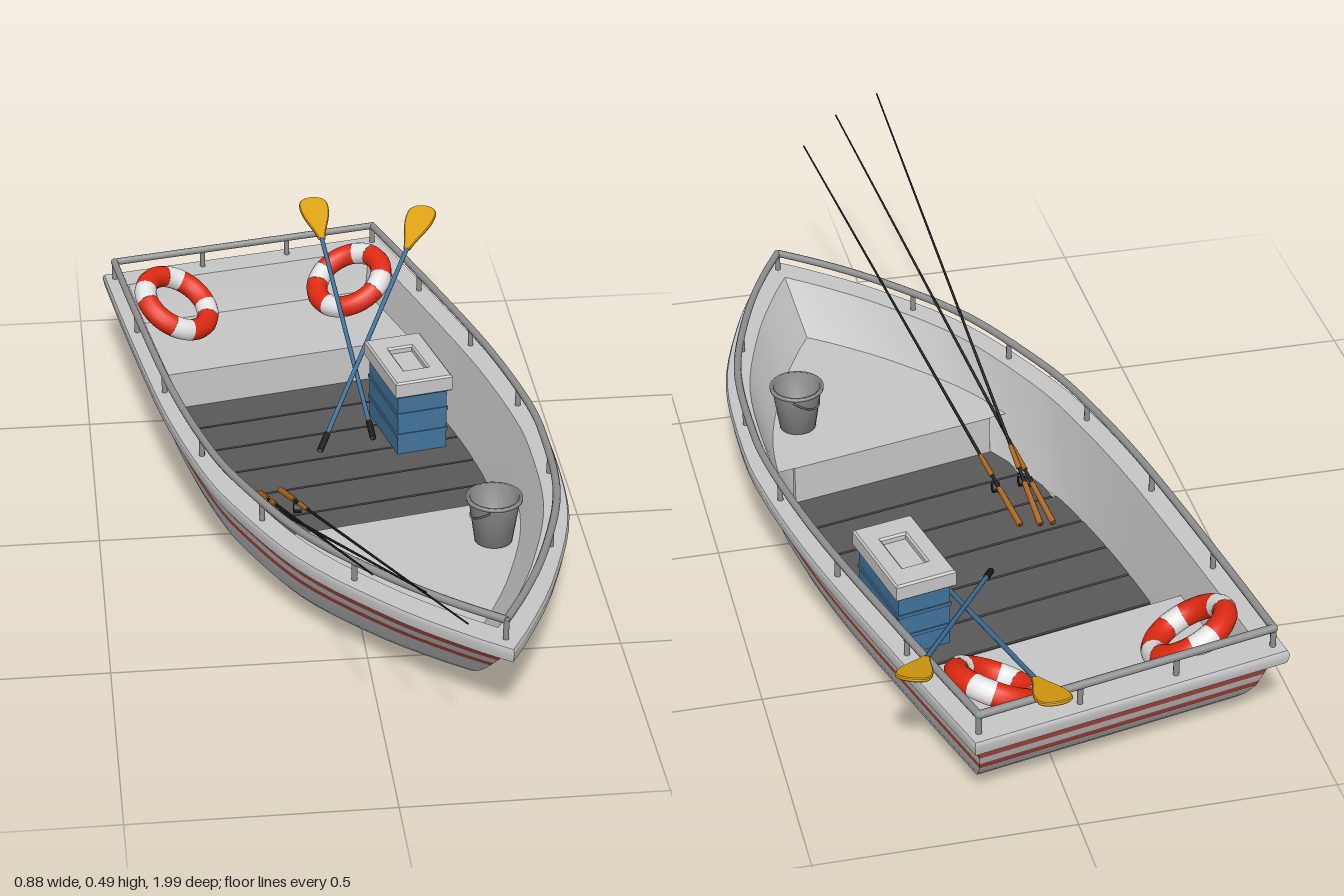
import * as THREE from 'three';

const mat = (name, color, side = THREE.FrontSide) => {
  const m = new THREE.MeshStandardMaterial({ color, side });
  m.name = name;
  return m;
};

// Half-beam of the boat from stern (0) to bow (1)
const outline = new THREE.SplineCurve([
  [0, .327], [.17, .35], [.37, .37], [.52, .366], [.615, .345], [.755, .28], [.878, .165], [.957, .065], [1, 0],
].map(p => new THREE.Vector2(...p))).getPoints(96);
function half(t) {
  for (let i = 1; i < outline.length; i++) {
    const a = outline[i - 1], b = outline[i];
    if (t <= b.x) return a.y + (b.y - a.y) * (t - a.x) / (b.x - a.x);
  }
  return 0;
}

// A level is [height, stern z, bow z, beam factor]
const STEPS = 36;
const halfAt = (L, z) => L[3] * half((z - L[1]) / (L[2] - L[1]));
const edge = (L, t, side) => [side * L[3] * half(t), L[0], L[1] + (L[2] - L[1]) * t];
function strips(L) {
  const right = [], left = [];
  for (let i = 0; i <= STEPS; i++) {
    right.push(edge(L, 1 - i / STEPS, -1));
    left.push(edge(L, i / STEPS, 1));
  }
  return [right, [edge(L, 0, -1), edge(L, 0, 1)], left];
}

// Skin through a list of levels, one material index per row; bow and stern corners stay sharp
function loft(levels, rowMats) {
  const pos = [], idx = [], g = new THREE.BufferGeometry();
  const rows = levels.map(L => strips(L).map(strip => {
    const start = pos.length / 3;
    strip.forEach(p => pos.push(...p));
    return [start, strip.length];
  }));
  for (let r = 0; r + 1 < rows.length; r++) {
    const first = idx.length;
    rows[r].forEach(([a, n], s) => {
      const b = rows[r + 1][s][0];
      for (let i = 0; i < n - 1; i++) idx.push(a + i, a + i + 1, b + i, a + i + 1, b + i + 1, b + i);
    });
    g.addGroup(first, idx.length - first, rowMats ? rowMats[r] : 0);
  }
  g.setAttribute('position', new THREE.Float32BufferAttribute(pos, 3));
  g.setIndex(idx);
  g.computeVertexNormals();
  return g;
}

// Flat deck filling a level between two z positions
function deck(L, z0, z1, up = true) {
  const pos = [], idx = [], n = 30;
  for (let i = 0; i <= n; i++) {
    const z = z0 + (z1 - z0) * i / n, w = halfAt(L, z);
    pos.push(-w, L[0], z, w, L[0], z);
    const a = i * 2;
    if (i < n) up ? idx.push(a, a + 2, a + 1, a + 1, a + 2, a + 3) : idx.push(a, a + 1, a + 2, a + 1, a + 3, a + 2);
  }
  const g = new THREE.BufferGeometry();
  g.setAttribute('position', new THREE.Float32BufferAttribute(pos, 3));
  g.setIndex(idx);
  g.computeVertexNormals();
  return g;
}

export function createModel() {
  const M = {
    hull: mat('hull grey', 0xc6c6c6, THREE.DoubleSide), stripe: mat('stripe red', 0xb04a40),
    plank: mat('plank dark grey', 0x595959), rail: mat('metal grey', 0x909090, THREE.DoubleSide),
    red: mat('ring red', 0xe02a12), white: mat('ring white', 0xe4e4e4),
    yellow: mat('blade yellow', 0xdca010), blue: mat('cooler blue', 0x41749c),
    black: mat('rod black', 0x1c1c1c), brown: mat('grip brown', 0xa8641c),
  };
  const model = new THREE.Group();
  const boat = new THREE.Group();
  boat.name = 'boat';
  boat.position.set(-.13, 0, -.905);
  boat.rotation.y = .21;
  model.add(boat);
  const add = (parent, name, geo, material, x = 0, y = 0, z = 0) => {
    const m = new THREE.Mesh(geo, material);
    m.name = name;
    m.position.set(x, y, z);
    parent.add(m);
    return m;
  };
  // Cylinder between two points, r0 at the start and r1 at the end
  const rod = (parent, name, a, b, r0, r1, material, sides = 8) => {
    const d = b.clone().sub(a);
    const m = add(parent, name, new THREE.CylinderGeometry(r1, r0, d.length(), sides), material);
    m.position.copy(a).addScaledVector(d, .5);
    m.quaternion.setFromUnitVectors(new THREE.Vector3(0, 1, 0), d.normalize());
    return m;
  };
  const V = (x, y, z) => new THREE.Vector3(x, y, z);

  // Outer hull with two painted stripes, then its flat bottom
  const hullTop = [.17, .03, 1.715, .935], bottom = [0, .19, 1.43, .68];
  add(boat, 'hull', loft([
    hullTop, [.145, .037, 1.69, .922], [.128, .042, 1.672, .912], [.108, .05, 1.65, .9], [.093, .056, 1.633, .89],
    [.06, .08, 1.595, .865], [.035, .105, 1.56, .835], [.018, .125, 1.53, .8], [.007, .15, 1.49, .75], bottom,
  ], [0, 1, 0, 1, 0, 0, 0, 0, 0]), [M.hull, M.stripe]);
  add(boat, 'hullBottom', deck(bottom, bottom[1], bottom[2], false), M.hull);

  // Gunwale, inner wall and decks
  const rimIn = [.2, .07, 1.67, .87], rimOut = [.2, .005, 1.75, .99], rimEdge = [.192, 0, 1.755, 1];
  const rimLow = [.172, .004, 1.75, .99];
  const seat = [.11, .095, 1.55, .82], floor = [.022, .13, 1.42, .775];
  [['innerWall', [floor, seat, rimIn]], ['gunwaleTop', [rimIn, rimOut]], ['gunwaleEdge', [rimOut, rimEdge, rimLow]],
    ['gunwaleUnderside', [rimLow, hullTop]]].forEach(([n, L]) => add(boat, n, loft(L), [M.hull]));
  const well0 = .35, well1 = 1.085;
  add(boat, 'sternDeck', deck(seat, seat[1], well0), M.hull);
  add(boat, 'bowDeck', deck(seat, well1, seat[2]), M.hull);
  for (const [n, z] of [['sternBulkhead', well0 - .006], ['bowBulkhead', well1 + .006]]) {
    add(boat, n, new THREE.BoxGeometry(2 * halfAt(floor, z) + .006, .088, .012), M.hull, 0, .0655, z);
  }

  // Floor planks across the well
  add(boat, 'subfloor', deck([.016, ...floor.slice(1)], well0, well1), M.black);
  const pitch = (well1 - well0) / 7;
  for (let i = 0; i < 7; i++) {
    const z = well0 + pitch * (i + .5);
    add(boat, 'floorPlank', new THREE.BoxGeometry(2 * halfAt(floor, z) + .005, .012, pitch - .005), M.plank, 0, .019, z);
  }

  // Railing on posts
  const railL = [.241, .03, 1.71, .935];
  const post = ([x, , z]) => add(boat, 'railPost', new THREE.CylinderGeometry(.006, .006, .045, 8), M.rail, x, .219, z);
  for (const s of [-1, 1]) {
    const pts = Array.from({ length: 25 }, (_, i) => V(...edge(railL, i / 24, s)));
    add(boat, 'sideRail', new THREE.TubeGeometry(new THREE.CatmullRomCurve3(pts), 60, .008, 8), M.rail);
    for (const t of [0, .16, .33, .5, .67, .83]) post(edge(railL, t, s));
    post([s * .1, 0, railL[1]]);
  }
  post(edge(railL, 1, 1));
  const [cornerR, cornerL] = [-1, 1].map(s => V(...edge(railL, 0, s)));
  rod(boat, 'sternRail', cornerR, cornerL, .008, .008, M.rail);
  for (const c of [cornerR, cornerL]) add(boat, 'railCorner', new THREE.SphereGeometry(.008, 8, 6), M.rail, c.x, c.y, c.z);

  // Cooler box with a recessed lid panel
  const cooler = new THREE.Group();
  cooler.name = 'cooler';
  cooler.position.set(.194, .025, .603);
  boat.add(cooler);
  add(cooler, 'coolerBody', new THREE.BoxGeometry(.11, .14, .19), M.blue, 0, .07, 0);
  for (const y of [.045, .095]) add(cooler, 'coolerRib', new THREE.BoxGeometry(.115, .008, .195), M.blue, 0, y, 0);
  const lid = new THREE.Shape([[-.06, -.102], [.06, -.102], [.06, .102], [-.06, .102]].map(p => new THREE.Vector2(...p)));
  lid.holes.push(new THREE.Path([[-.03, -.055], [-.03, .055], [.03, .055], [.03, -.055]].map(p => new THREE.Vector2(...p))));
  const lidGeo = new THREE.ExtrudeGeometry(lid, { depth: .03, bevelEnabled: true, bevelSize: .004, bevelThickness: .004, bevelSegments: 1 });
  add(cooler, 'coolerLid', lidGeo.rotateX(-Math.PI / 2), M.hull, 0, .144, 0);
  add(cooler, 'coolerLidPanel', new THREE.BoxGeometry(.062, .024, .112), M.hull, 0, .152, 0);

  // Bucket with a folded handle
  const bucket = new THREE.Group();
  bucket.name = 'bucket';
  bucket.position.set(.28, .111, .265);
  model.add(bucket);
  const wall = [[0, .002], [.038, .002], [.052, .095], [.057, .095], [.057, .101], [.049, .101], [.036, .008], [0, .008]];
  add(bucket, 'bucketBody', new THREE.LatheGeometry(wall.map(p => new THREE.Vector2(...p)), 24), M.rail);
  const handle = new THREE.Group();
  handle.name = 'bucketHandle';
  handle.position.y = .093;
  handle.rotation.set(0, Math.PI / 2 - .3, 0);
  bucket.add(handle);
  add(handle, 'handleWire', new THREE.TorusGeometry(.058, .002, 6, 20, Math.PI), M.rail).rotation.x = -2.2;
  rod(handle, 'handleGrip', V(-.015, -.047, -.034), V(.015, -.047, -.034), .005, .005, M.brown);

  // Life rings leaning on the stern corners: four red and four white arcs
  for (const [x, y, z, nx, nz] of [[-.29, .182, -.71, .45, .28], [.105, .182, -.785, -.38, .28]]) {
    const ring = new THREE.Group();
    ring.name = 'lifeRing';
    ring.position.set(x, y, z);
    ring.quaternion.setFromUnitVectors(V(0, 0, 1), V(nx, .83, nz).normalize());
    model.add(ring);
    for (let i = 0; i < 4; i++) {
      add(ring, 'ringRedArc', new THREE.TorusGeometry(.078, .024, 12, 10, Math.PI / 3), M.red).rotation.z = i * Math.PI / 2;
      add(ring, 'ringWhiteArc', new THREE.TorusGeometry(.078, .0245, 12, 5, Math.PI / 6), M.white).rotation.z = i * Math.PI / 2 + Math.PI / 3;
    }
  }

  // Oars: blade grows along its local y from the shaft end
  const blade = new THREE.Shape();
  blade.moveTo(-.006, 0);
  blade.bezierCurveTo(-.012, .04, -.034, .07, -.031, .115);
  blade.bezierCurveTo(-.028, .145, .028, .145, .031, .115);
  blade.bezierCurveTo(.034, .07, .012, .04, .006, 0);
  const bladeGeo = new THREE.ExtrudeGeometry(blade, { depth: .004, bevelEnabled: true, bevelSize: .002, bevelThickness: .002, bevelSegments: 1 });
  bladeGeo.translate(0, 0, -.002);
  for (const [a, b] of [[V(.1, .06, -.265), V(.052, .248, -.868)], [V(-.016, .045, -.25), V(.235, .258, -.775)]]) {
    const dir = b.clone().sub(a).normalize();
    rod(model, 'oarShaft', a, b, .005, .005, M.blue);
    rod(model, 'oarGrip', a, a.clone().addScaledVector(dir, .05), .007, .007, M.black);
    const side = V(0, 1, 0).cross(dir).normalize();
    const m = add(model, 'oarBlade', bladeGeo, M.yellow, b.x, b.y, b.z);
    m.quaternion.setFromRotationMatrix(new THREE.Matrix4().makeBasis(side, dir, side.clone().cross(dir)));
  }

  // Fishing rods resting over the bow rail
  for (const [a, tip] of [[V(-.158, .035, -.1), V(-.05, .493, .99)], [V(-.185, .035, -.1), V(.045, .45, .99)],
    [V(-.115, .04, -.1), V(.12, .38, .99)]]) {
    const at = t => a.clone().lerp(tip, t);
    rod(model, 'fishingRod', a, tip, .004, .0018, M.black, 6);
    rod(model, 'rodGrip', a, at(.09), .007, .006, M.brown);
    rod(model, 'rodForegrip', at(.12), at(.17), .006, .005, M.brown);
    const c = at(.105);
    rod(model, 'reel', c.clone().add(V(-.008, -.014, 0)), c.clone().add(V(.008, -.014, 0)), .011, .011, M.black, 12);
  }
  return model;
}
